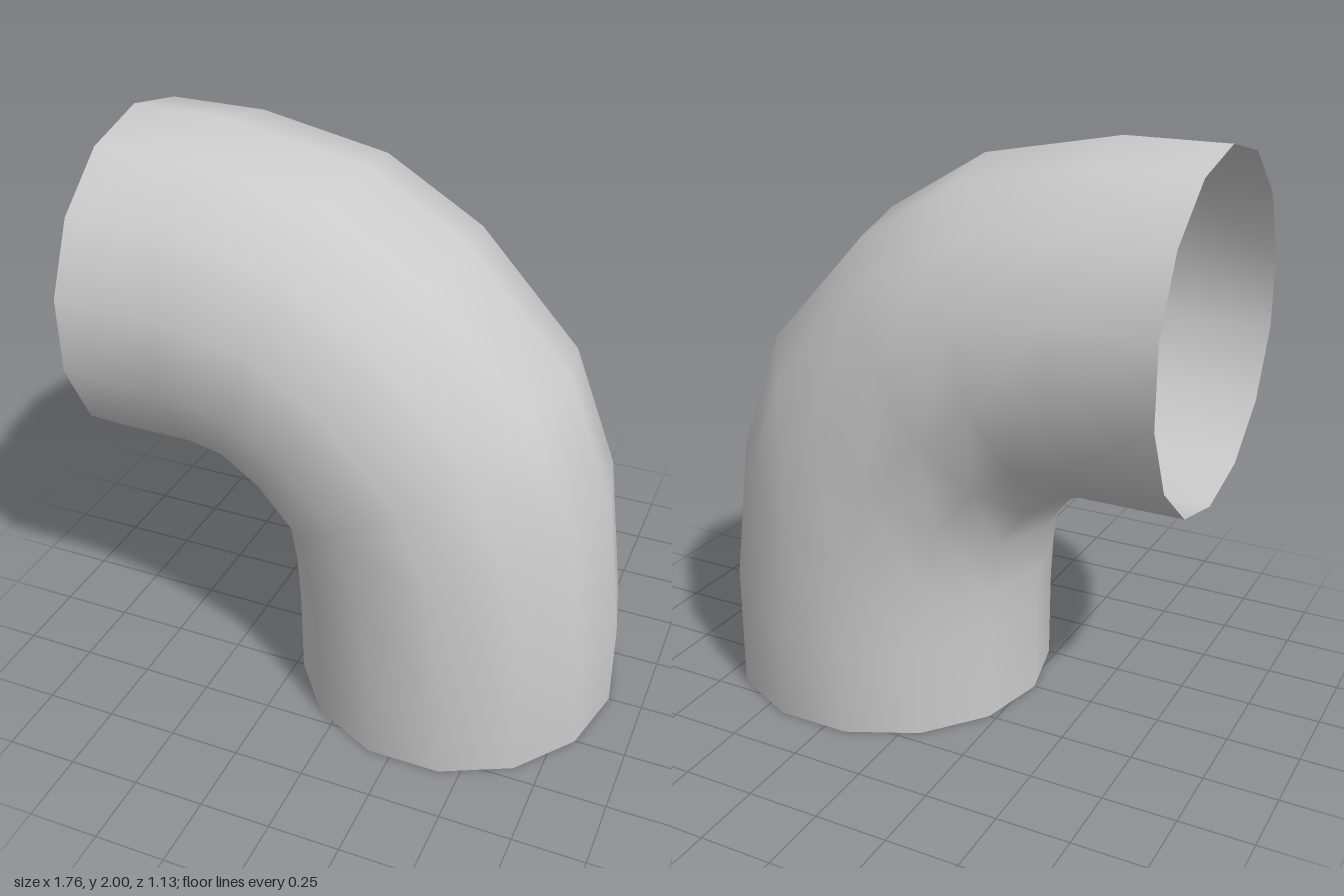
import * as THREE from 'three';

const SIDES = 14;
const RADIUS = 0.58;

// Each ring spans the bend from its outer point to its inner point: [outerX, outerY, innerX, innerY]
const RINGS = [
  [-0.885, 2.0, -0.885, 0.84],
  [-0.54, 2.0, -0.54, 0.84],
  [-0.07, 1.91, -0.465, 0.82],
  [0.28, 1.7, -0.385, 0.75],
  [0.645, 1.3, -0.305, 0.64],
  [0.81, 0.87, -0.285, 0.47],
  [0.88, 0.32, -0.28, 0.32],
  [0.88, 0, -0.28, 0],
];

// Skin the rings into one open tube with smooth normals
function loftRings(rings) {
  const positions = [];
  const indices = [];
  rings.forEach(([ox, oy, ix, iy], i) => {
    for (let j = 0; j < SIDES; j++) {
      const a = (j / SIDES) * Math.PI * 2;
      const t = (1 + Math.cos(a)) / 2;
      positions.push(ix + (ox - ix) * t, iy + (oy - iy) * t, RADIUS * Math.sin(a));
      if (i === rings.length - 1) continue;
      const p = i * SIDES + j;
      const q = i * SIDES + ((j + 1) % SIDES);
      indices.push(p, q, p + SIDES, q, q + SIDES, p + SIDES);
    }
  });
  const geometry = new THREE.BufferGeometry();
  geometry.setAttribute('position', new THREE.Float32BufferAttribute(positions, 3));
  geometry.setIndex(indices);
  geometry.computeVertexNormals();
  return geometry;
}

export function createModel() {
  const group = new THREE.Group();
  group.name = 'pipeElbow';

  // Thin-walled pipe, open at both ends
  const material = new THREE.MeshStandardMaterial({ color: 0xcccccc, side: THREE.DoubleSide });
  const pipe = new THREE.Mesh(loftRings(RINGS), material);
  pipe.name = 'bentPipe';
  group.add(pipe);

  return group;
}
